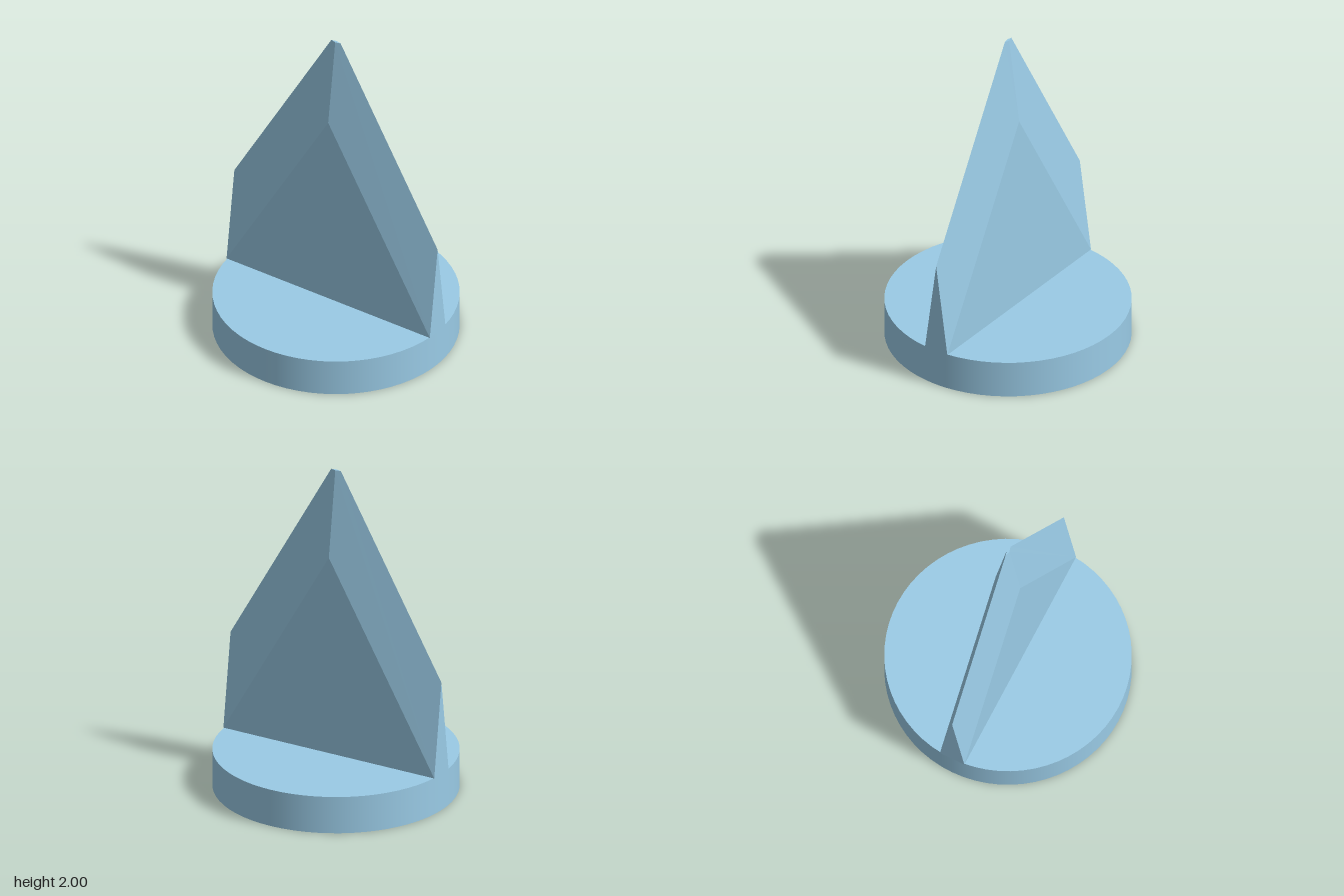
import * as THREE from 'three';

const R = 0.723;       // base radius and blade half width
const BASE_H = 0.23;   // base thickness
const HALF_T = 0.08;   // blade half thickness
const SHOULDER = 0.81; // where the upright ends meet the sloping edges
const PEAK = 1.47;     // top of the flat triangular face
const TOP = 2;         // truncated tip
const TIP_X = 0.033, TIP_Z = 0.008;

// Flat-shaded geometry from convex, planar polygons (counter-clockwise from outside)
function fromPolygons(polygons) {
  const pos = [];
  for (const p of polygons)
    for (let i = 1; i < p.length - 1; i++) pos.push(...p[0], ...p[i], ...p[i + 1]);
  const g = new THREE.BufferGeometry();
  g.setAttribute('position', new THREE.Float32BufferAttribute(pos, 3));
  g.computeVertexNormals();
  return g;
}

function bladeGeometry() {
  const faces = [];
  // front and back: s = 1 / -1; mirroring in z or x flips the corner order
  for (const s of [1, -1]) {
    const flip = (p, odd) => faces.push(odd ? p.reverse() : p);
    const z = s * HALF_T;
    // flat triangular face
    flip([[-R, BASE_H, z], [R, BASE_H, z], [0, PEAK, z]], s < 0);
    for (const m of [1, -1]) {
      // bevel running from the flat face out to the sharp edge
      flip([[m * R, BASE_H, z], [m * R, SHOULDER, 0], [m * TIP_X, TOP, 0],
        [0, TOP, s * TIP_Z], [0, PEAK, z]], s * m < 0);
    }
  }
  // triangular upright ends
  faces.push([[R, BASE_H, HALF_T], [R, BASE_H, -HALF_T], [R, SHOULDER, 0]]);
  faces.push([[-R, BASE_H, -HALF_T], [-R, BASE_H, HALF_T], [-R, SHOULDER, 0]]);
  // diamond tip
  faces.push([[TIP_X, TOP, 0], [0, TOP, -TIP_Z], [-TIP_X, TOP, 0], [0, TOP, TIP_Z]]);
  // underside
  faces.push([[-R, BASE_H, -HALF_T], [R, BASE_H, -HALF_T], [R, BASE_H, HALF_T], [-R, BASE_H, HALF_T]]);
  return fromPolygons(faces);
}

export function createModel() {
  const group = new THREE.Group();
  const blue = new THREE.MeshStandardMaterial({ color: 0x9acbe6 });

  // round base
  const base = new THREE.Mesh(new THREE.CylinderGeometry(R, R, BASE_H, 64), blue);
  base.position.y = BASE_H / 2;
  base.name = 'base';

  // bevelled upright blade
  const blade = new THREE.Mesh(bladeGeometry(), blue);
  blade.name = 'blade';

  group.add(base, blade);
  return group;
}
